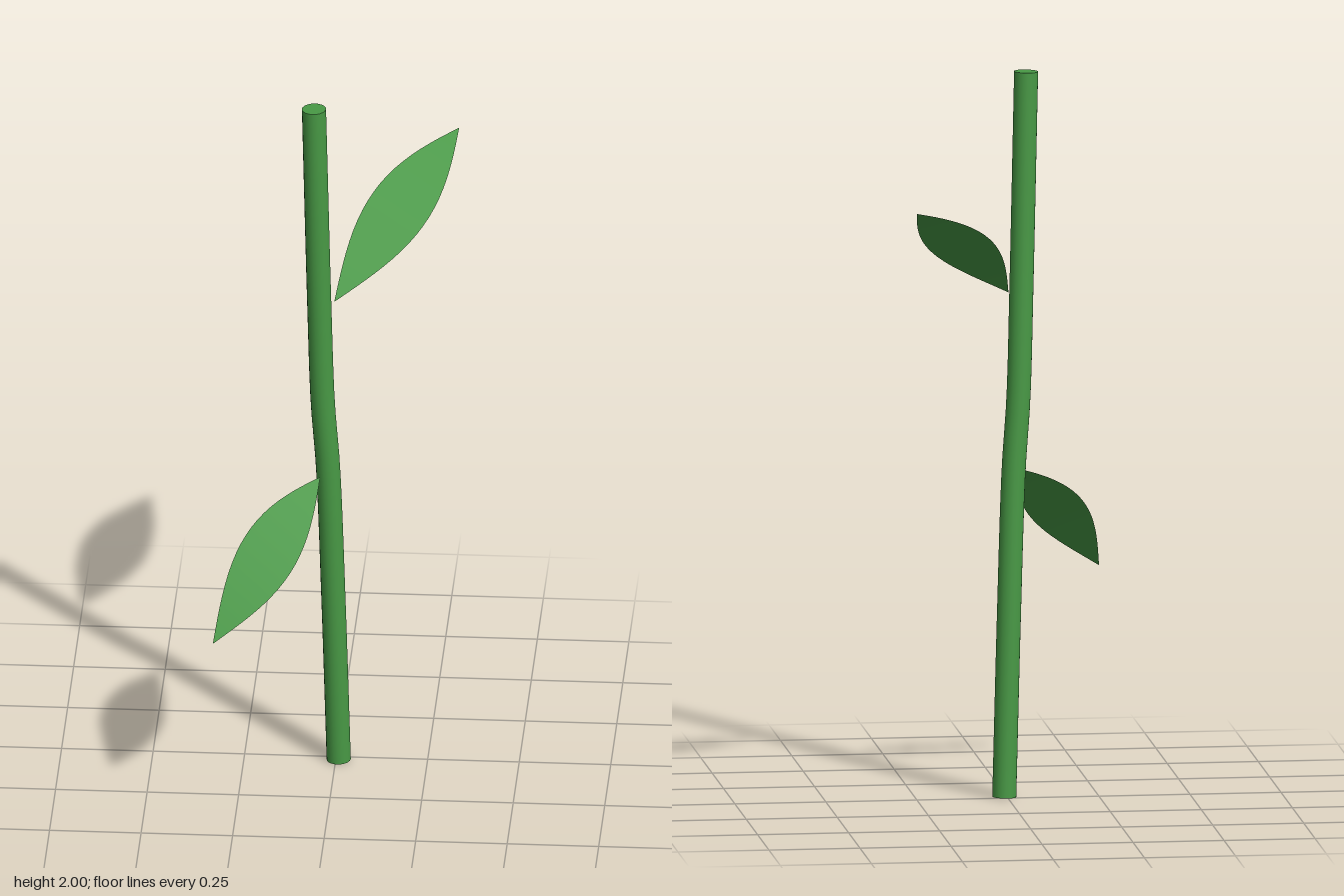
import * as THREE from 'three';

const v = (x, y, z) => new THREE.Vector3(x, y, z);

// Pointed blade: a bowed midrib with a half-width vector that swells and tapers
function leafGeometry(base, control, tip, halfWidth) {
  const midrib = new THREE.QuadraticBezierCurve3(base, control, tip);
  const geo = new THREE.PlaneGeometry(1, 1, 4, 20);
  const pos = geo.attributes.position;
  for (let i = 0; i < pos.count; i++) {
    const t = pos.getY(i) + 0.5;
    const side = pos.getX(i) * 2 * Math.sin(Math.PI * t);
    const p = midrib.getPoint(t).addScaledVector(halfWidth, side);
    pos.setXYZ(i, p.x, p.y, p.z);
  }
  geo.computeVertexNormals();
  return geo;
}

export function createModel() {
  const model = new THREE.Group();
  model.name = 'leafyStem';
  const green = new THREE.MeshStandardMaterial({ color: 0x489945, side: THREE.DoubleSide });
  green.name = 'leafGreen';
  const add = (name, geo, parent = model) => {
    const mesh = new THREE.Mesh(geo, green);
    mesh.name = name;
    parent.add(mesh);
    return mesh;
  };

  // Gently bent stem with closed ends
  const radius = 0.033;
  const path = new THREE.CatmullRomCurve3([
    v(0.008, 0.001, 0.016), v(-0.006, 0.5, 0.026), v(-0.02, 0.9, 0.035),
    v(-0.034, 1.1, 0.041), v(-0.043, 1.4, 0.048), v(-0.057, 1.999, 0.056),
  ]);
  const stem = new THREE.Group();
  stem.name = 'stem';
  model.add(stem);
  add('stemTube', new THREE.TubeGeometry(path, 32, radius, 20), stem);
  for (const [name, t, dir] of [['stemBottom', 0, -1], ['stemTop', 1, 1]]) {
    const cap = add(name, new THREE.CircleGeometry(radius, 20), stem);
    cap.position.copy(path.getPoint(t));
    cap.quaternion.setFromUnitVectors(v(0, 0, 1), path.getTangent(t).multiplyScalar(dir));
  }

  // Upper leaf rises to the back, lower leaf droops to the front
  add('upperLeaf', leafGeometry(
    v(-0.004, 1.395, 0.02), v(0.161, 1.587, -0.212), v(0.306, 1.699, -0.455), v(0.071, -0.027, 0.045)));
  add('lowerLeaf', leafGeometry(
    v(-0.038, 0.895, 0.09), v(-0.1625, 0.7725, 0.2815), v(-0.307, 0.56, 0.455), v(0.064, -0.032, 0.047)));

  return model;
}
